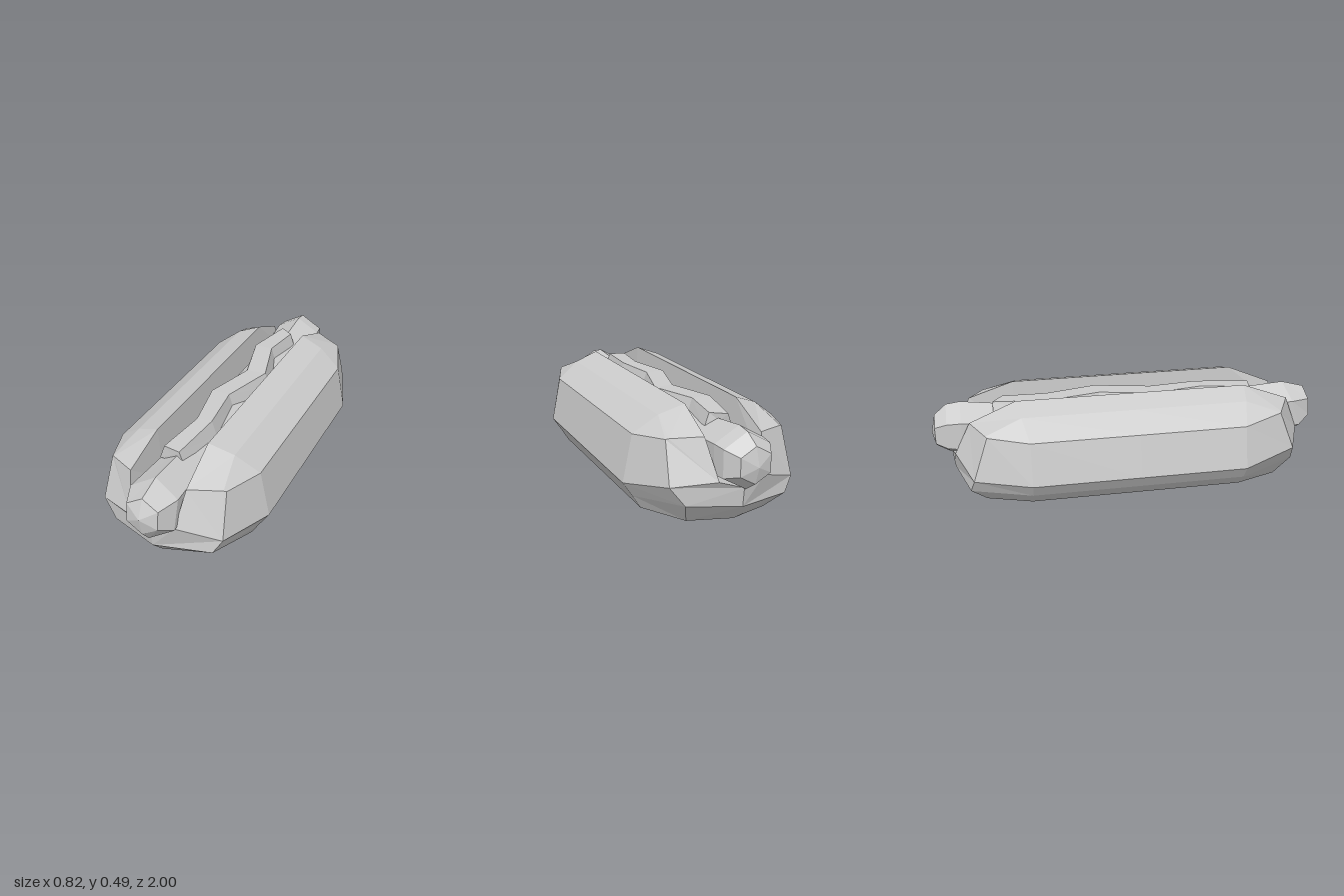
import * as THREE from 'three';

const material = new THREE.MeshStandardMaterial({ color: 0xcccccc, flatShading: true });

// Mesh from a list of flat polygons, each fanned into triangles
function polyMesh(name, polygons) {
  const pos = [];
  for (const p of polygons)
    for (let i = 1; i < p.length - 1; i++) pos.push(...p[0], ...p[i], ...p[i + 1]);
  const geo = new THREE.BufferGeometry();
  geo.setAttribute('position', new THREE.Float32BufferAttribute(pos, 3));
  geo.computeVertexNormals();
  const mesh = new THREE.Mesh(geo, material);
  mesh.name = name;
  return mesh;
}

// Quads between successive rings, running towards +z
function bridge(rings, closed) {
  const out = [];
  for (let j = 0; j < rings.length - 1; j++) {
    const a = rings[j], b = rings[j + 1], n = a.length;
    for (let k = 0; k < (closed ? n : n - 1); k++) {
      const m = (k + 1) % n;
      out.push([a[k], a[m], b[m], b[k]]);
    }
  }
  return out;
}

// Closed loft with a point at each end
function loft(name, rings, backTip, frontTip) {
  const polys = bridge(rings, true), first = rings[0], last = rings[rings.length - 1];
  first.forEach((p, i) => {
    const m = (i + 1) % first.length;
    polys.push([first[m], p, backTip], [last[i], last[m], frontTip]);
  });
  return polyMesh(name, polys);
}

// One quarter of the bun; s and e (1 or -1) make the sides and ends slightly uneven
function bunQuarter(s, e) {
  const middle = [
    [0, 0, 0.53], [0.308 - 0.017 * s, 0.009 + 0.006 * s, 0.53], [0.366, 0.08 + 0.01 * s, 0.53],
    [0.412, 0.15 + 0.01 * s, 0.53], [0.365, 0.368, 0.53], [0.25, 0.452, 0.56],
    [0.131 + 0.004 * s, 0.494, 0.58], [0.115, 0.22, 0.58], [0, 0.19, 0.58],
  ];
  const end = [
    [0, 0.01, 0.82], [0.2, 0.005, 0.75], [0.252 - 0.012 * e, 0.1 + 0.01 * e, 0.825],
    [0.307, 0.18 + 0.02 * e, 0.805], [0.292, 0.387 + 0.007 * e, 0.73], [0.28, 0.391 + 0.007 * e, 0.737],
    [0.14 + 0.005 * e, 0.403 + 0.008 * e, 0.81], [0.112, 0.225, 0.89], [0, 0.19, 0.91],
  ];
  const centre = middle.map(([x, y]) => [x, y, 0]);
  const nose = [0, 0.098, 0.9];
  return [
    ...bridge([centre, middle, end], false),
    [end[3], end[4], end[5], end[6], end[7]],
    [nose, end[2], end[3], end[7], end[8]],
    [end[0], end[1], end[2], nose],
  ];
}

// Bun: four quarters around an open slot
function makeBun() {
  const polys = [];
  for (const sx of [1, -1]) for (const sz of [1, -1])
    for (const p of bunQuarter(-sx, -sx * sz)) {
      const q = p.map(([x, y, z]) => [x * sx, y, z * sz]);
      polys.push(sx * sz < 0 ? q.reverse() : q);
    }
  return polyMesh('bun', polys);
}

// Sausage: six-sided with thicker rounded ends, tilted at the front and blunter at the back
function makeSausage() {
  // z, centre x, centre y, radius, tilt of the ring
  const stations = [
    [-0.98, -0.01, 0.315, 0.085, 0], [-0.92, 0, 0.318, 0.13, 0], [-0.85, 0, 0.318, 0.139, 0],
    [-0.6, 0, 0.3, 0.125, 0], [0.55, 0, 0.3, 0.122, 0],
    [0.885, 0.003, 0.303, 0.138, -0.33], [0.97, 0.003, 0.318, 0.09, -0.12],
  ];
  const rings = stations.map(([z, x, y, r, tilt]) => Array.from({ length: 6 }, (_, i) => {
    const a = Math.PI / 6 + i * Math.PI / 3, dy = r * Math.sin(a);
    return [x + r * Math.cos(a), y + dy, z + tilt * dy];
  }));
  return loft('sausage', rings, [-0.015, 0.31, -1], [0.003, 0.32, 1]);
}

// Sauce: zigzag strip with a flat top and sloping sides
function makeSauce() {
  // left x, left z, right x, right z, top height
  const path = [
    [-0.05, -0.69, 0.04, -0.64, 0.457], [-0.1, -0.42, 0.015, -0.42, 0.465],
    [-0.03, -0.15, 0.09, -0.16, 0.46], [-0.1, 0.12, 0.015, 0.12, 0.465],
    [-0.05, 0.38, 0.045, 0.37, 0.463], [-0.085, 0.635, 0.02, 0.65, 0.455],
  ];
  const bottom = 0.385;
  const rings = path.map(([xl, zl, xr, zr, top]) => [
    [xl - 0.01, bottom, zl], [xr + 0.02, bottom, zr], [xr - 0.005, top, zr], [xl + 0.015, top, zl],
  ]);
  return loft('sauce', rings, [-0.005, 0.42, -0.665], [-0.03, 0.42, 0.643]);
}

export function createModel() {
  const group = new THREE.Group();
  group.name = 'hotDog';
  group.add(makeBun(), makeSausage(), makeSauce());
  return group;
}
